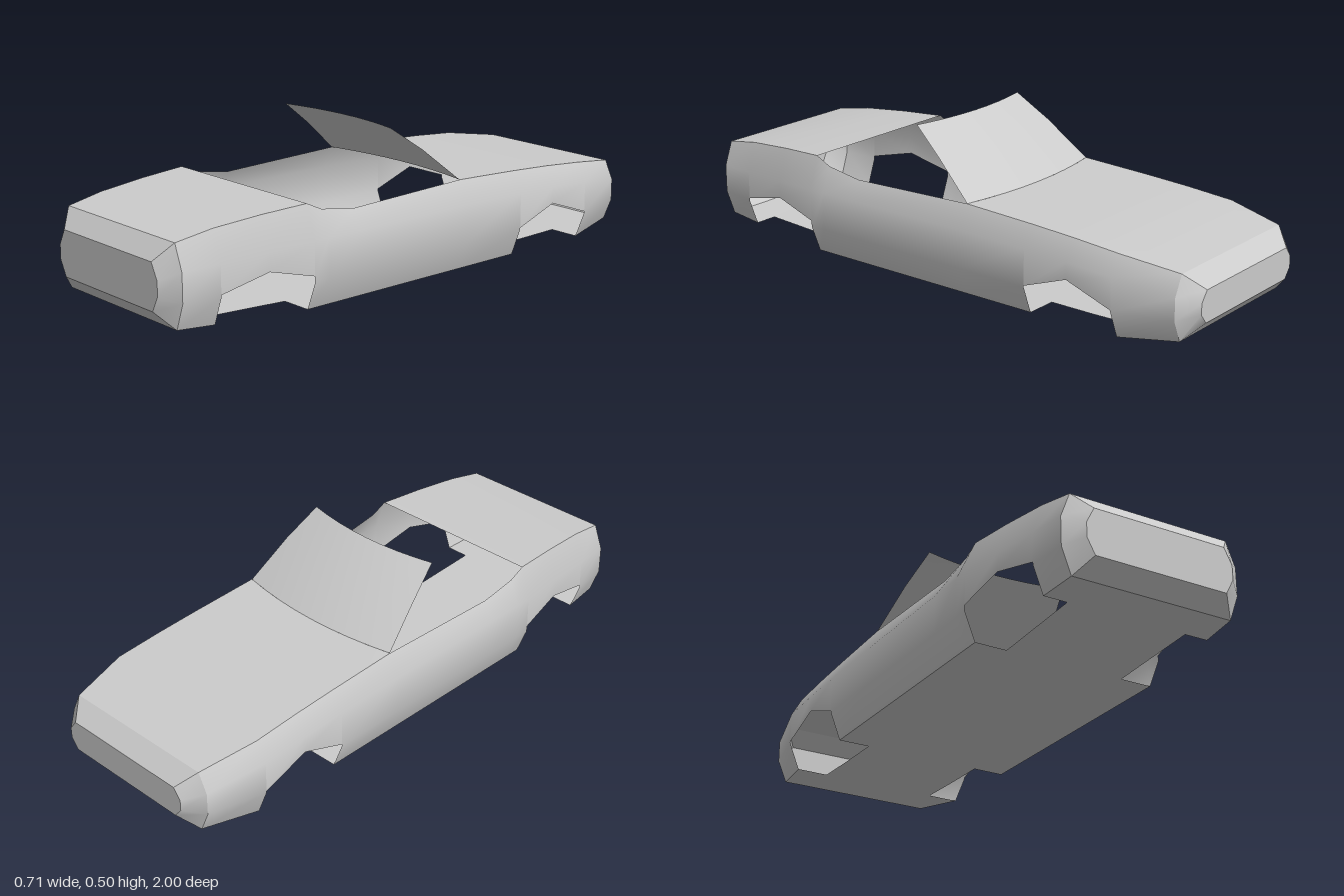
import * as THREE from 'three';
import { toCreasedNormals } from 'three/addons/utils/BufferGeometryUtils.js';

const material = new THREE.MeshStandardMaterial({ color: 0xcccccc, side: THREE.DoubleSide });

// Hull stations: z, top y, top/bottom half width, waist half width, waist high y, waist low y, bottom y
const STATIONS = [
  [0.95, 0.293, 0.28, 0.312, 0.21, 0.115, 0.027],
  [0.82, 0.315, 0.291, 0.325, 0.214, 0.11, 0.018],
  [0.65, 0.329, 0.306, 0.341, 0.22, 0.102, 0.009],
  [0.487, 0.337, 0.32, 0.357, 0.225, 0.095, 0],
  [0.43, 0.31, 0.32, 0.357, 0.225, 0.095, 0],
  [0.3, 0.289, 0.32, 0.357, 0.225, 0.095, 0],
  [-0.165, 0.303, 0.32, 0.357, 0.225, 0.095, 0],
  [-0.42, 0.292, 0.32, 0.357, 0.22, 0.095, 0],
  [-0.58, 0.283, 0.32, 0.357, 0.215, 0.095, 0],
  [-0.745, 0.27, 0.32, 0.357, 0.205, 0.095, 0.003],
  [-0.942, 0.24, 0.28, 0.312, 0.175, 0.1, 0.026],
];
// Height of the wheel arches at the stations 1-3 and 7-9
const ARCH = { 1: 0.118, 2: 0.158, 3: 0.115, 7: 0.1, 8: 0.158, 9: 0.1 };
const WELL_X = 0.21;

// Triangles between successive rows of points
function sheet(rows, out) {
  for (let i = 0; i < rows.length - 1; i++) {
    for (let j = 0; j < rows[i].length - 1; j++) {
      const a = rows[i][j], b = rows[i + 1][j], c = rows[i + 1][j + 1], d = rows[i][j + 1];
      out.push(...a, ...b, ...c, ...a, ...c, ...d);
    }
  }
}

const flip = ([x, y, z]) => [-x, y, z];

// The same sheet on both sides, with the winding kept outward
function mirrored(rows, out) {
  sheet(rows, out);
  sheet(rows.map((row) => row.map(flip).reverse()), out);
}

function makeMesh(name, tris) {
  const geometry = new THREE.BufferGeometry();
  geometry.setAttribute('position', new THREE.Float32BufferAttribute(tris, 3));
  const mesh = new THREE.Mesh(toCreasedNormals(geometry, 0.6), material);
  mesh.name = name;
  return mesh;
}

// Half section of the hull from bottom to top
function section([z, top, xt, w, yh, yl, bottom]) {
  return [[xt, bottom, z], [w, yl, z], [w, yh, z], [xt, top, z]];
}

// Half section above a wheel arch
function archSection(i) {
  const [z, top, xt, w, yh] = STATIONS[i];
  return [[w, ARCH[i], z], [w, yh, z], [xt, top, z]];
}

function makeSides() {
  const tris = [];
  for (const [from, to] of [[0, 1], [3, 7], [9, 10]]) {
    mirrored(STATIONS.slice(from, to + 1).map(section), tris);
  }
  for (const from of [1, 7]) {
    mirrored([from, from + 1, from + 2].map(archSection), tris);
  }
  return makeMesh('bodySides', tris);
}

// Floor pan, narrowed between the wheels
function makeFloor() {
  const tris = [];
  for (const [from, to, well] of [[0, 1], [1, 3, true], [3, 7], [7, 9, true], [9, 10]]) {
    sheet(STATIONS.slice(from, to + 1).map(([z, , xt, , , , y]) => {
      const inner = [[-WELL_X, y, z], [WELL_X, y, z]];
      return well ? inner : [[-xt, y, z], ...inner, [xt, y, z]];
    }), tris);
  }
  return makeMesh('floor', tris);
}

// Flat cover over the +z end
function makeFrontDeck() {
  const tris = [];
  sheet(STATIONS.slice(0, 4).map(([z, top, xt]) => [[xt, top, z], [-xt, top, z]]), tris);
  return makeMesh('frontDeck', tris);
}

const COLUMNS = 8;
const across = (fn) => Array.from({ length: COLUMNS + 1 }, (_, j) => fn(1 - (2 * j) / COLUMNS));

// Cover over the -z end, with a curved edge along the windshield
function makeRearDeck() {
  const tris = [];
  sheet(STATIONS.slice(6).map(([z, top, xt], i) =>
    across((t) => [t * xt, top, z - (i === 0 ? 0.035 * (1 - t * t) : 0)])), tris);
  return makeMesh('rearDeck', tris);
}

// Curved windshield: half width, y, z at the side, z at the middle
function makeWindshield() {
  const tris = [];
  const profile = [
    [0.263, 0.503, 0.09, 0.058],
    [0.29, 0.42, -0.025, -0.058],
    [0.319, 0.303, -0.165, -0.2],
  ];
  sheet(profile.map(([w, y, side, mid]) =>
    across((t) => [t * w, y, mid + (side - mid) * t * t])), tris);
  return makeMesh('windshield', tris);
}

// Bevelled bumper with an eight-sided end face
function makeBumper(name, station, face, isFront) {
  const tris = [];
  const ring = (half) => [...half, ...half.map(flip).reverse(), half[0]];
  const rows = [ring(section(station)), ring(face)];
  sheet(isFront ? rows.reverse() : rows, tris);
  const s = isFront ? 1 : -1;
  sheet(face.map(([x, y, z]) => [[s * x, y, z], [-s * x, y, z]]), tris);
  return makeMesh(name, tris);
}

export function createModel() {
  const car = new THREE.Group();
  car.name = 'openCarBody';
  const frontFace = [[0.231, 0.083, 1], [0.258, 0.134, 1], [0.258, 0.183, 1], [0.231, 0.235, 1]];
  const rearFace = [[0.231, 0.085, -1], [0.258, 0.118, -1], [0.258, 0.155, -1], [0.231, 0.19, -1]];
  car.add(
    makeSides(),
    makeFloor(),
    makeFrontDeck(),
    makeRearDeck(),
    makeWindshield(),
    makeBumper('frontBumper', STATIONS[0], frontFace, true),
    makeBumper('rearBumper', STATIONS[10], rearFace, false),
  );
  return car;
}
